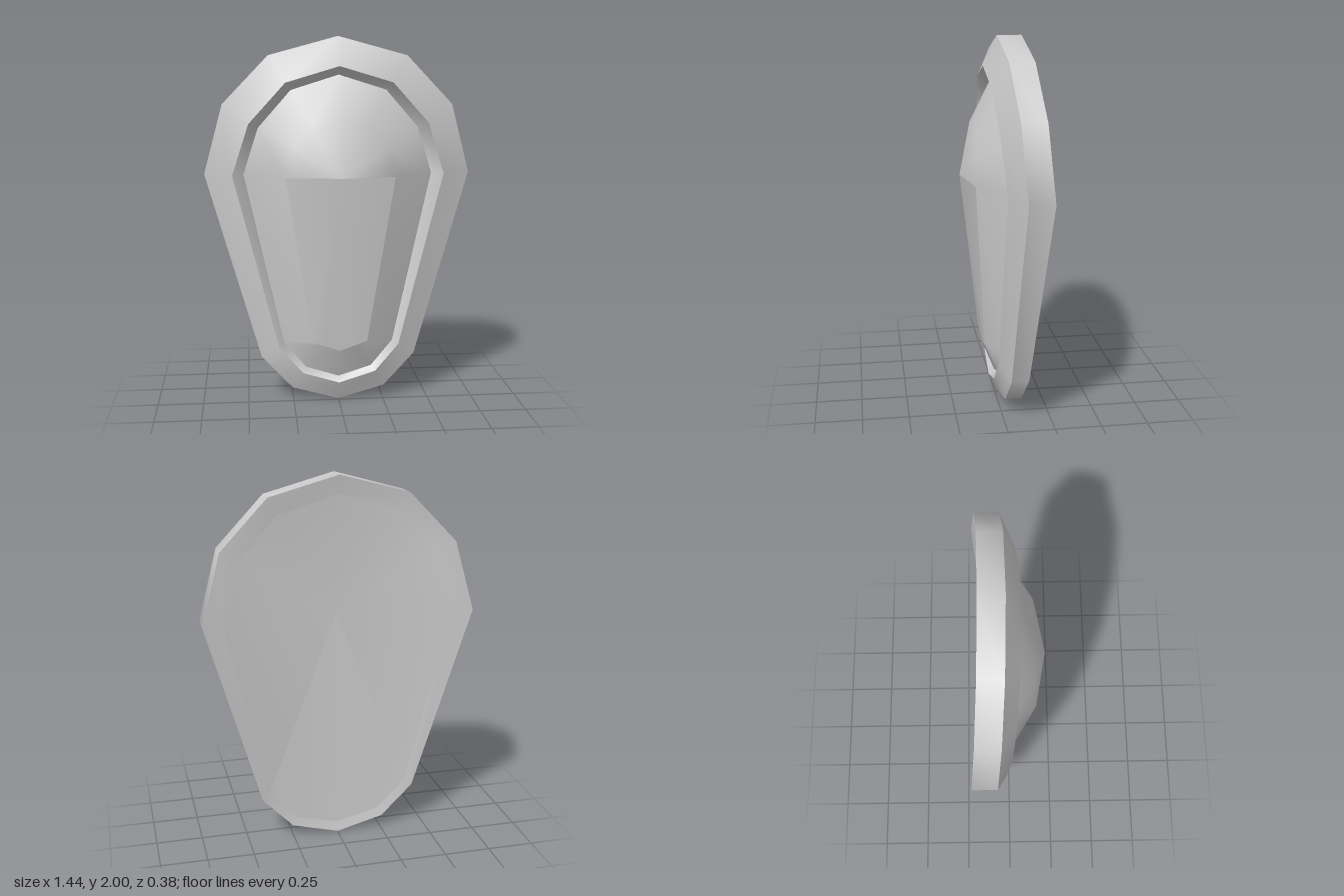
import * as THREE from 'three';
import { mergeVertices } from 'three/addons/utils/BufferGeometryUtils.js';

const N = 12;

// Right half of a ring, top to bottom, mirrored into a closed 12-point loop.
function ring(half) {
  const left = half.slice(1, -1).reverse().map(([x, y, z]) => [-x, y, z]);
  return [...half, ...left];
}
const point = (x, y, z) => Array.from({ length: N }, () => [x, y, z]);

// Rings run from the centre of the back, round the edge, to the front boss.
const backCentre = point(0, 1.27, -0.07);
const backInner = ring([[0, 1.9, -0.125], [0.32, 1.81, -0.132], [0.53, 1.585, -0.153],
  [0.615, 1.27, -0.178], [0.385, 0.28, -0.112], [0.23, 0.115, -0.1], [0, 0.055, -0.094]]);
const backEdge = ring([[0, 2, -0.14], [0.37, 1.9, -0.147], [0.62, 1.64, -0.166],
  [0.72, 1.27, -0.19], [0.425, 0.25, -0.123], [0.255, 0.07, -0.11], [0, 0, -0.105]]);
const frontEdge = ring([[0, 2, -0.01], [0.37, 1.9, -0.018], [0.62, 1.64, -0.037],
  [0.72, 1.27, -0.06], [0.425, 0.25, -0.03], [0.255, 0.07, -0.022], [0, 0, -0.018]]);
const ridge = ring([[0, 1.845, 0.063], [0.285, 1.76, 0.055], [0.48, 1.545, 0.038],
  [0.57, 1.27, 0.015], [0.33, 0.32, 0.025], [0.2, 0.17, 0.031], [0, 0.11, 0.035]]);
const groove = ring([[0, 1.8, 0.005], [0.255, 1.72, 0], [0.43, 1.52, -0.018],
  [0.51, 1.27, -0.04], [0.3, 0.335, -0.012], [0.18, 0.195, 0], [0, 0.14, 0.005]]);
const shoulder = ring([[0, 1.57, 0.12], [0.145, 1.53, 0.118], [0.245, 1.42, 0.125],
  [0.29, 1.27, 0.138], [0.15, 0.36, 0.077], [0.08, 0.333, 0.074], [0, 0.305, 0.071]]);
const bossPeak = point(0, 1.27, 0.19);

const material = new THREE.MeshStandardMaterial({ color: 0xcccccc });

// Skin between rings; smooth inside one part, sharp where parts meet.
function skin(name, rings, keep = () => true) {
  const index = [];
  const at = (r, i) => r * N + (i % N);
  const same = (p, q) => rings.flat()[p].every((v, k) => v === rings.flat()[q][k]);
  for (let r = 0; r < rings.length - 1; r++) {
    for (let i = 0; i < N; i++) {
      if (!keep(r, i)) continue;
      const a = at(r, i), b = at(r, i + 1), c = at(r + 1, i + 1), d = at(r + 1, i);
      if (!same(a, b)) index.push(a, d, b);
      if (!same(c, d)) index.push(b, d, c);
    }
  }
  let geometry = new THREE.BufferGeometry();
  geometry.setAttribute('position', new THREE.Float32BufferAttribute(rings.flat(2), 3));
  geometry.setIndex(index);
  geometry = mergeVertices(geometry, 1e-5);
  geometry.computeVertexNormals();
  const mesh = new THREE.Mesh(geometry, material);
  mesh.name = name;
  return mesh;
}

export function createModel() {
  const shield = new THREE.Group();
  shield.name = 'shield';
  const lower = (i) => i >= 3 && i < 9;
  const wedge = (i) => i >= 4 && i < 8;

  shield.add(
    // Hollow back with a wedge running down from its centre
    skin('backHollow', [backCentre, backInner], (r, i) => !wedge(i)),
    skin('backWedge', [backCentre, backInner], (r, i) => wedge(i)),
    skin('backBevel', [backInner, backEdge]),
    // Edge and raised rim
    skin('edge', [backEdge, frontEdge]),
    skin('rim', [frontEdge, ridge]),
    skin('rimInnerWall', [ridge, groove]),
    // Raised boss with a flat panel below its peak
    skin('boss', [groove, shoulder, bossPeak], (r, i) => r === 0 || !lower(i)),
    skin('bossPanel', [shoulder, bossPeak], (r, i) => lower(i)),
  );
  return shield;
}
